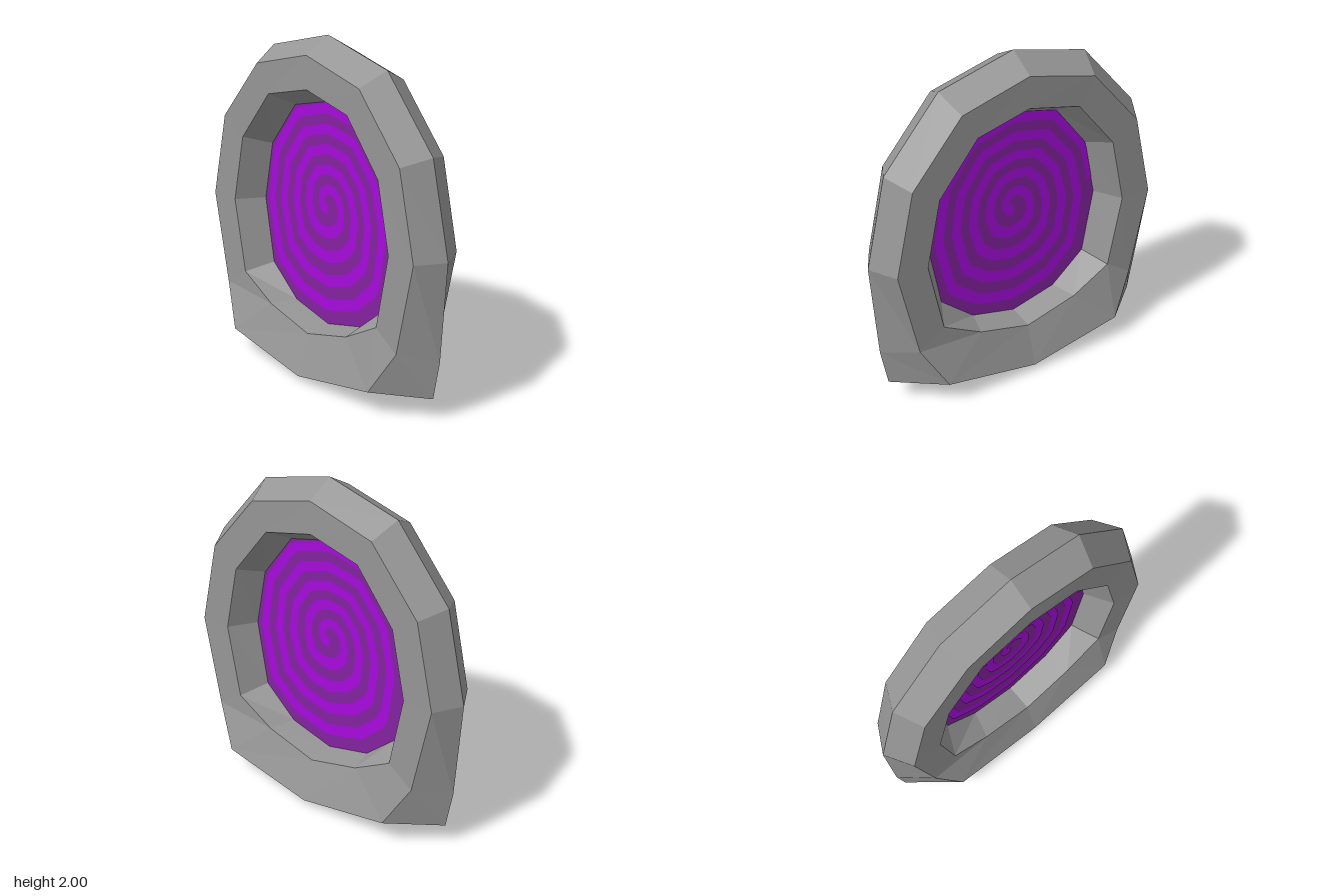
import * as THREE from 'three';

const stone = new THREE.MeshStandardMaterial({ color: 0x969696, flatShading: true });
stone.name = 'grey stone';
const darkPurple = new THREE.MeshStandardMaterial({ color: 0x83229f, side: THREE.DoubleSide });
darkPurple.name = 'dark purple';
const brightPurple = new THREE.MeshStandardMaterial({ color: 0xa60bdc, side: THREE.DoubleSide });
brightPurple.name = 'bright purple';

// Right half of each loop, top to bottom: [x, y]
const ridge = [[0, 2], [0.462, 1.88], [0.805, 1.48], [0.93, 0.94], [0.892, 0.36], [0.85, 0.13], [0, 0]];
const faceOuter = [[0, 1.91], [0.418, 1.8], [0.725, 1.44], [0.838, 0.94], [0.725, 0.4], [0.582, 0.15], [0, 0.04]];
const faceInner = [[0, 1.72], [0.323, 1.64], [0.564, 1.34], [0.65, 0.94], [0.564, 0.505], [0.323, 0.37], [0, 0.285]];
const core = [[0, 1.63], [0.28, 1.56], [0.487, 1.29], [0.557, 0.94], [0.487, 0.55], [0.28, 0.37], [0, 0.3]];

// The face leans outwards at the foot
const outerZ = [0.16, 0.163, 0.163, 0.163, 0.165, 0.235, 0.235];
const innerZ = Array(7).fill(0.16);
const flatZ = Array(7).fill(0);

// Full clockwise loop of 12 points from a mirrored half
function loop(half, depth, side = 1) {
  const right = half.map(([x, y], i) => new THREE.Vector3(x, y, depth[i] * side));
  const left = right.slice(1, -1).reverse().map((p) => new THREE.Vector3(-p.x, p.y, p.z));
  return [...right, ...left];
}

function frameGeometry() {
  const loops = [
    loop(ridge, flatZ), loop(faceOuter, outerZ), loop(faceInner, innerZ),
    loop(core, flatZ), loop(faceInner, innerZ, -1), loop(faceOuter, outerZ, -1),
  ];
  const points = [];
  loops.forEach((now, k) => {
    const next = loops[(k + 1) % loops.length];
    now.forEach((a, j) => {
      const n = (j + 1) % now.length;
      points.push(a, next[j], now[n], now[n], next[j], next[n]);
    });
  });
  const geometry = new THREE.BufferGeometry().setFromPoints(points);
  geometry.computeVertexNormals();
  return geometry;
}

// Distance from the swirl centre to the rim of the opening
const centreY = 1.04;
const rim = loop(core, flatZ);
function rimDistance(dx, dy) {
  let best = Infinity;
  rim.forEach((a, i) => {
    const b = rim[(i + 1) % rim.length];
    const ex = b.x - a.x, ey = b.y - a.y, ay = a.y - centreY;
    const det = dx * ey - dy * ex;
    if (Math.abs(det) < 1e-9) return;
    const distance = (a.x * ey - ay * ex) / det;
    const along = (a.x * dy - ay * dx) / det;
    if (distance > 0 && along >= -1e-6 && along <= 1 + 1e-6) best = Math.min(best, distance);
  });
  return best;
}

// Spiral band that follows the shape of the opening
function swirlGeometry() {
  const steps = 280, start = 0.04, end = 0.99, pitch = 0.2, halfBand = 0.05;
  const positions = [], index = [];
  for (let i = 0; i <= steps; i++) {
    const t = start + (end - start) * i / steps;
    const angle = -Math.PI / 2 - (t - start) / pitch * Math.PI * 2;
    const dx = Math.cos(angle), dy = Math.sin(angle);
    const reach = rimDistance(dx, dy);
    for (const s of [Math.max(t - halfBand, 0), Math.min(t + halfBand, 1)]) {
      positions.push(dx * reach * s, centreY + dy * reach * s, 0.004);
    }
    // clockwise path: inner, next inner, outer faces forward
    const a = i * 2;
    if (i < steps) index.push(a, a + 2, a + 1, a + 1, a + 2, a + 3);
  }
  const geometry = new THREE.BufferGeometry();
  geometry.setAttribute('position', new THREE.Float32BufferAttribute(positions, 3));
  geometry.setIndex(index);
  // every normal points straight forward
  const normals = positions.map((_, i) => (i % 3 === 2 ? 1 : 0));
  geometry.setAttribute('normal', new THREE.Float32BufferAttribute(normals, 3));
  for (let i = 0; i < index.length; i += 3) {
    const [a, b, c] = [index[i], index[i + 1], index[i + 2]].map((v) => v * 3);
    const area = (positions[b] - positions[a]) * (positions[c + 1] - positions[a + 1])
      - (positions[b + 1] - positions[a + 1]) * (positions[c] - positions[a]);
    if (area < 0) [index[i + 1], index[i + 2]] = [index[i + 2], index[i + 1]];
  }
  geometry.setIndex(index);
  return geometry;
}

export function createModel() {
  const model = new THREE.Group();
  model.name = 'stonePortal';
  const add = (name, geometry, material) => {
    const mesh = new THREE.Mesh(geometry, material);
    mesh.name = name;
    model.add(mesh);
    return mesh;
  };

  add('stoneFrame', frameGeometry(), stone);

  const disc = new THREE.Shape(rim.map((p) => new THREE.Vector2(p.x, p.y)));
  add('portalSurface', new THREE.ShapeGeometry(disc), darkPurple);

  // The same swirl on both faces
  const swirl = swirlGeometry();
  add('frontSwirl', swirl, brightPurple);
  add('backSwirl', swirl, brightPurple).rotation.y = Math.PI;

  // Slight turn of the whole portal
  model.rotation.y = -0.087;
  return model;
}
